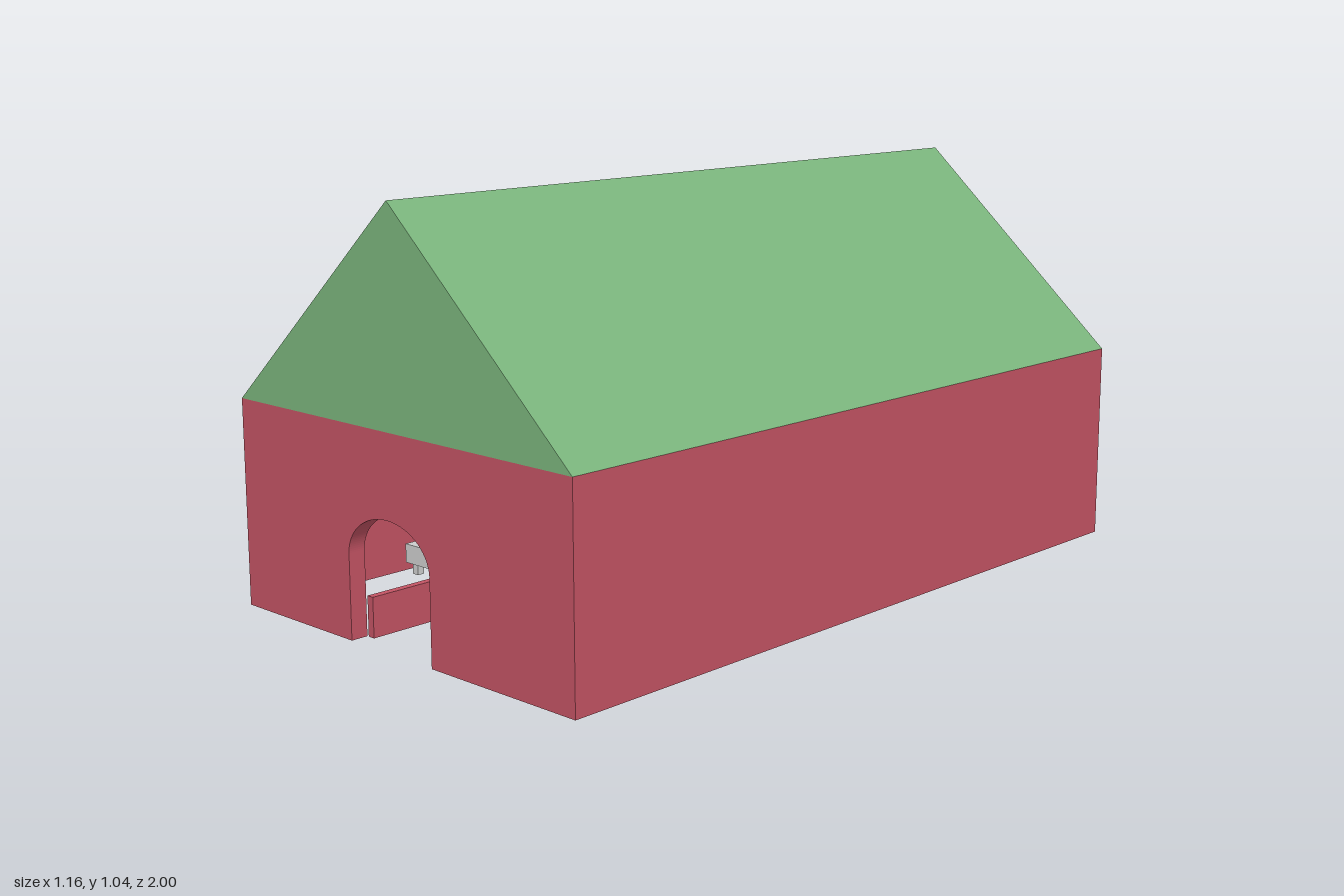
import * as THREE from 'three';
import { toCreasedNormals, mergeVertices } from 'three/addons/utils/BufferGeometryUtils.js';

const W = 0.58, EAVE = 0.52, RIDGE = 1.04, T = 0.045;
const red = new THREE.MeshStandardMaterial({ color: 0xc25363 });
const green = new THREE.MeshStandardMaterial({ color: 0x7ab47c });
const grey = new THREE.MeshStandardMaterial({ color: 0xcccccc });

export function createModel() {
  const model = new THREE.Group();
  const add = (name, geometry, material, parent = model) => {
    const mesh = new THREE.Mesh(geometry, material);
    mesh.name = name;
    parent.add(mesh);
    return mesh;
  };
  // Box given by its extents on each axis
  const box = (name, [x0, x1], [y0, y1], [z0, z1], material, parent) => {
    const mesh = add(name, new THREE.BoxGeometry(x1 - x0, y1 - y0, z1 - z0), material, parent);
    mesh.position.set((x0 + x1) / 2, (y0 + y1) / 2, (z0 + z1) / 2);
    return mesh;
  };
  const group = (name) => {
    const g = new THREE.Group();
    g.name = name;
    model.add(g);
    return g;
  };

  // Outer walls, open underneath
  box('leftWall', [W - T, W], [0, EAVE], [-1, 1], red);
  box('rightWall', [-W, T - W], [0, EAVE], [-1, 1], red);
  box('backWall', [T - W, W - T], [0, EAVE], [-1, T - 1], red);

  // Front wall with an arched doorway
  const wall = new THREE.Shape();
  wall.moveTo(-W, 0);
  wall.lineTo(-0.175, 0);
  wall.lineTo(-0.175, 0.21);
  wall.absellipse(-0.03, 0.21, 0.145, 0.105, Math.PI, 0, true);
  wall.lineTo(0.115, 0);
  wall.lineTo(W, 0);
  wall.lineTo(W, EAVE);
  wall.lineTo(-W, EAVE);
  const front = new THREE.ExtrudeGeometry(wall, { depth: T, bevelEnabled: false, curveSegments: 32 });
  add('frontWall', front, red).position.z = 1 - T;

  // Gabled roof
  const gable = new THREE.Shape([
    new THREE.Vector2(-W, EAVE), new THREE.Vector2(W, EAVE), new THREE.Vector2(0, RIDGE)]);
  add('roof', new THREE.ExtrudeGeometry(gable, { depth: 2, bevelEnabled: false }), green).position.z = -1;

  // Low partitions dividing the interior
  for (const z of [-0.6, 0]) {
    box('leftPartition', [-0.06, W - T], [0, 0.1], [z, z + 0.02], red);
    box('rightPartition', [T - W, -0.28], [0, 0.1], [z, z + 0.02], red);
  }
  box('doorPartition', [-0.17, -0.15], [0, 0.1], [0.73, 1 - T], red);

  // Large bed: red frame on four legs with a grey mattress
  const bed = group('largeBed');
  box('bedFrame', [-0.13, 0.46], [0.065, 0.12], [-0.5, -0.13], red, bed);
  box('mattress', [-0.12, 0.45], [0.12, 0.155], [-0.49, -0.14], grey, bed);
  for (const x of [-0.11, 0.435]) for (const z of [-0.475, -0.15])
    box('bedLeg', [x - 0.015, x + 0.015], [0, 0.065], [z - 0.015, z + 0.015], red, bed);

  // Small cot with a headboard and four short feet
  const cot = group('cot');
  box('cotBase', [-0.51, -0.29], [0.03, 0.08], [0.19, 0.57], grey, cot);
  box('headboard', [-0.51, -0.29], [0.03, 0.13], [0.165, 0.19], grey, cot);
  for (const x of [-0.485, -0.31]) for (const z of [0.185, 0.55])
    box('cotFoot', [x - 0.01, x + 0.01], [0, 0.03], [z - 0.01, z + 0.01], grey, cot);

  // Long low counter by the left wall
  const counter = group('counter');
  box('counterBase', [0.22, 0.44], [0.04, 0.06], [0.11, 0.69], grey, counter);
  box('counterTop', [0.21, 0.45], [0.06, 0.13], [0.1, 0.7], grey, counter);

  // Waisted stools in the back corners
  const profile = [[0, 0], [0.128, 0], [0.06, 0.1], [0.1, 0.15], [0.1, 0.165], [0, 0.165]]
    .map(([r, y]) => new THREE.Vector2(r, y));
  const stool = toCreasedNormals(new THREE.LatheGeometry(profile, 40), 0.6);
  for (const side of [-1, 1]) add('stool', stool, grey).position.set(side * 0.36, 0, -0.79);

  add('roundShelter', shelterGeometry(), grey).position.set(-0.15, 0.078, 0.39);
  return model;
}

// Rounded block: a sphere cut flat on six sides, with a round hollow on the left side
function shelterGeometry() {
  const geometry = new THREE.BoxGeometry(2, 2, 2, 20, 20, 20);
  const p = geometry.attributes.position, v = new THREE.Vector3();
  for (let i = 0; i < p.count; i++) {
    v.fromBufferAttribute(p, i);
    const face = Math.floor(i / 441) >> 1; // 0: x faces, 1: y faces, 2: z faces
    const axis = 'xyz'[face], [a, b] = ['x', 'y', 'z'].filter((k) => k !== axis);
    const m = Math.max(Math.abs(v[a]), Math.abs(v[b])), l = Math.hypot(v[a], v[b]);
    if (l > 0) {
      // Square rings of the grid become circles towards the middle
      const inner = m < 0.81 ? m * 1.15 : 0.92;
      const blend = m < 0.81 ? 0 : (m - 0.8) / 0.2;
      const toSquare = THREE.MathUtils.lerp(inner / l, 1, blend);
      v[a] *= toSquare;
      v[b] *= toSquare;
      if (i < 441 && m > 0.55 && m < 0.65) { v.y *= 1.12; v.z *= 1.12; }
    }
    if (i < 441 && m < 0.65) v.x = -0.8;
    else if (v.length() > 1.36) v.setLength(1.36);
    p.setXYZ(i, v.x * 0.12, v.y * 0.078, v.z * 0.15);
  }
  geometry.deleteAttribute('normal');
  geometry.deleteAttribute('uv');
  return toCreasedNormals(mergeVertices(geometry), 0.5);
}
